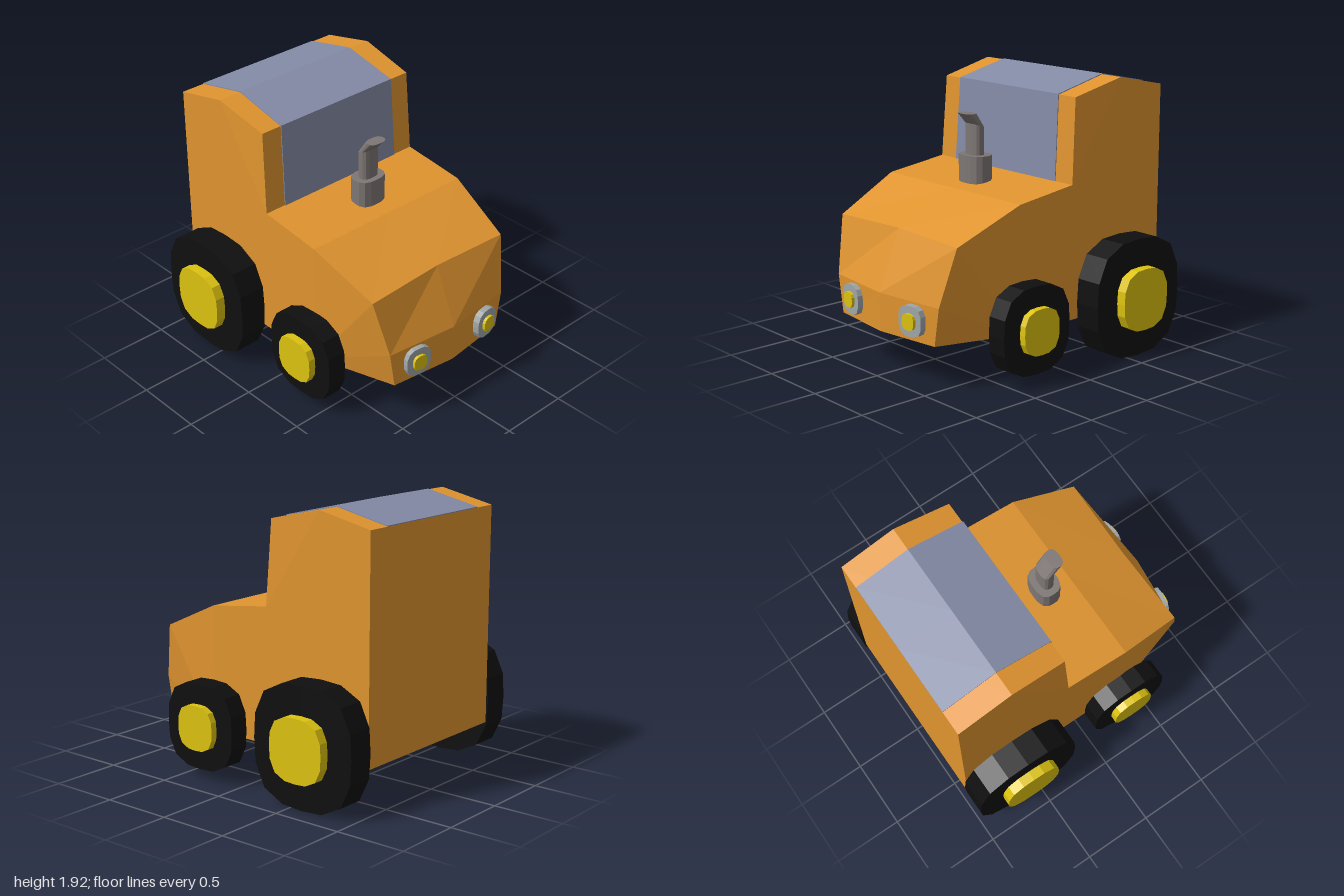
import * as THREE from 'three';

const mat = (name, color) => {
  const m = new THREE.MeshStandardMaterial({ color, flatShading: true });
  m.name = name;
  return m;
};

// Extrudes a [z, y] outline across x, centred on x = 0
function across(points, width, rule) {
  const shape = new THREE.Shape(points.map(([z, y]) => new THREE.Vector2(z, y)));
  const g = new THREE.ExtrudeGeometry(shape, { depth: width, steps: 2, bevelEnabled: false });
  g.translate(0, 0, -width / 2);
  g.rotateY(-Math.PI / 2);
  return rule ? reshape(g, rule) : g;
}

// Moves every vertex by a rule
function reshape(g, rule) {
  const p = g.attributes.position;
  const v = new THREE.Vector3();
  for (let i = 0; i < p.count; i++) {
    v.fromBufferAttribute(p, i);
    rule(v);
    p.setXYZ(i, v.x, v.y, v.z);
  }
  g.computeVertexNormals();
  return g;
}

// Rounded-square prism standing along y
function softPrism(rx, rz, height, rows = 1) {
  const n = 2.9;
  const g = new THREE.CylinderGeometry(1, 1, height, 16, rows);
  return reshape(g, (v) => {
    const sum = Math.abs(v.x) ** n + Math.abs(v.z) ** n;
    const k = sum > 1e-6 ? (Math.hypot(v.x, v.z) ** n / sum) ** (1 / n) : 0;
    v.x *= k * rx;
    v.z *= k * rz;
  });
}

export function createModel() {
  const model = new THREE.Group();
  model.name = 'tractor';
  const orange = mat('orange paint', 0xe0942f);
  const glass = mat('blue grey glass', 0x848ba6);
  const rubber = mat('black rubber', 0x0f0f0f);
  const yellow = mat('yellow', 0xdcc210);
  const steel = mat('light grey steel', 0xa0a6a8);
  const pipeGrey = mat('exhaust grey', 0x7d7674);

  const add = (name, geometry, material, x = 0, y = 0, z = 0, parent = model) => {
    const m = new THREE.Mesh(geometry, material);
    m.name = name;
    m.position.set(x, y, z);
    parent.add(m);
    return m;
  };

  // Cab and rear half of the hood
  const cab = [[-0.985, 0.305], [0.33, 0.305], [0.33, 1.18], [-0.14, 1.24],
    [-0.175, 1.82], [-0.585, 1.915], [-0.985, 1.83]];
  add('cab', across(cab, 1.34, (v) => {
    if (v.z > -0.2 && v.y > 1.8) v.x *= 0.975;
  }), orange);

  // Nose, narrowing forwards with a shallow ridge in the middle
  const nose = [[0.33, 0.305], [0.905, 0.305], [0.905, 0.57], [0.81, 0.965], [0.33, 1.18]];
  add('nose', across(nose, 1.34, (v) => {
    if (v.z < 0.5) return;
    const high = v.y > 0.9;
    if (Math.abs(v.x) < 0.01) {
      v.z += high ? -0.015 : 0.06;
      if (high) v.y += 0.015;
    } else {
      v.x = Math.sign(v.x) * (high ? 0.605 : v.y > 0.5 ? 0.535 : 0.49);
    }
  }), orange);

  // Windscreen and roof window in one thin band
  add('windscreen and roof window', across([[-0.985, 1.83], [-0.585, 1.915], [-0.175, 1.82],
    [-0.14, 1.24], [-0.134, 1.24], [-0.169, 1.825], [-0.585, 1.921], [-0.985, 1.836]], 1.0, (v) => {
    v.x *= v.y < 1.5 ? 1.02 : 0.995;
  }), glass);

  // Wheels: [name, side, x inner, x outer, hub outer, y, z, radius y, radius z, hub y, hub z]
  const wheels = [
    ['rearLeft', 1, 0.67, 0.865, 0.935, 0.415, -0.6, 0.415, 0.4, 0.217, 0.212],
    ['rearRight', -1, 0.67, 0.87, 0.94, 0.45, -0.6, 0.41, 0.4, 0.217, 0.212],
    ['frontLeft', 1, 0.685, 0.83, 0.878, 0.372, 0.322, 0.3, 0.292, 0.157, 0.154],
    ['frontRight', -1, 0.665, 0.805, 0.858, 0.387, 0.322, 0.295, 0.292, 0.157, 0.154],
  ];
  for (const [name, side, inner, outer, hub, y, z, ry, rz, hy, hz] of wheels) {
    const wheel = new THREE.Group();
    wheel.name = name + 'Wheel';
    wheel.position.set(0, y, z);
    model.add(wheel);
    const tyre = softPrism(ry, rz, outer - inner).rotateZ(Math.PI / 2);
    add('tyre', tyre, rubber, side * (inner + outer) / 2, 0, 0, wheel);
    const cap = softPrism(hy, hz, hub - inner).rotateZ(Math.PI / 2);
    add('hub', cap, yellow, side * (inner + hub) / 2, 0, 0, wheel);
    // Axle stub closes the small gap to the body
    add('axle', new THREE.CylinderGeometry(0.06, 0.06, 0.1, 8).rotateZ(Math.PI / 2),
      rubber, side * 0.68, 0, 0, wheel);
  }

  // Headlamps, turned to follow the nose
  for (const side of [-1, 1]) {
    const lamp = new THREE.Group();
    lamp.name = side > 0 ? 'leftHeadlamp' : 'rightHeadlamp';
    lamp.position.set(side * 0.32, 0.45, side > 0 ? 0.945 : 0.935);
    lamp.rotation.y = side * 0.12;
    model.add(lamp);
    add('lampRim', softPrism(0.1, 0.105, 0.06).rotateX(Math.PI / 2), steel, 0, 0, 0, lamp);
    add('lampBulb', softPrism(0.053, 0.055, 0.05).rotateX(Math.PI / 2), yellow, 0, 0, 0.025, lamp);
  }

  // Exhaust with a forward-bent tip
  add('exhaustBase', softPrism(0.117, 0.088, 0.2), pipeGrey, 0, 1.285, 0.127);
  const pipe = reshape(softPrism(0.07, 0.045, 0.3, 2), (v) => {
    if (v.y > 0.1) v.z += 0.07;
    else if (v.y > -0.1) v.y = 0.06 + v.z * 0.35;
  });
  add('exhaustPipe', pipe, pipeGrey, 0, 1.525, 0.13);

  return model;
}
